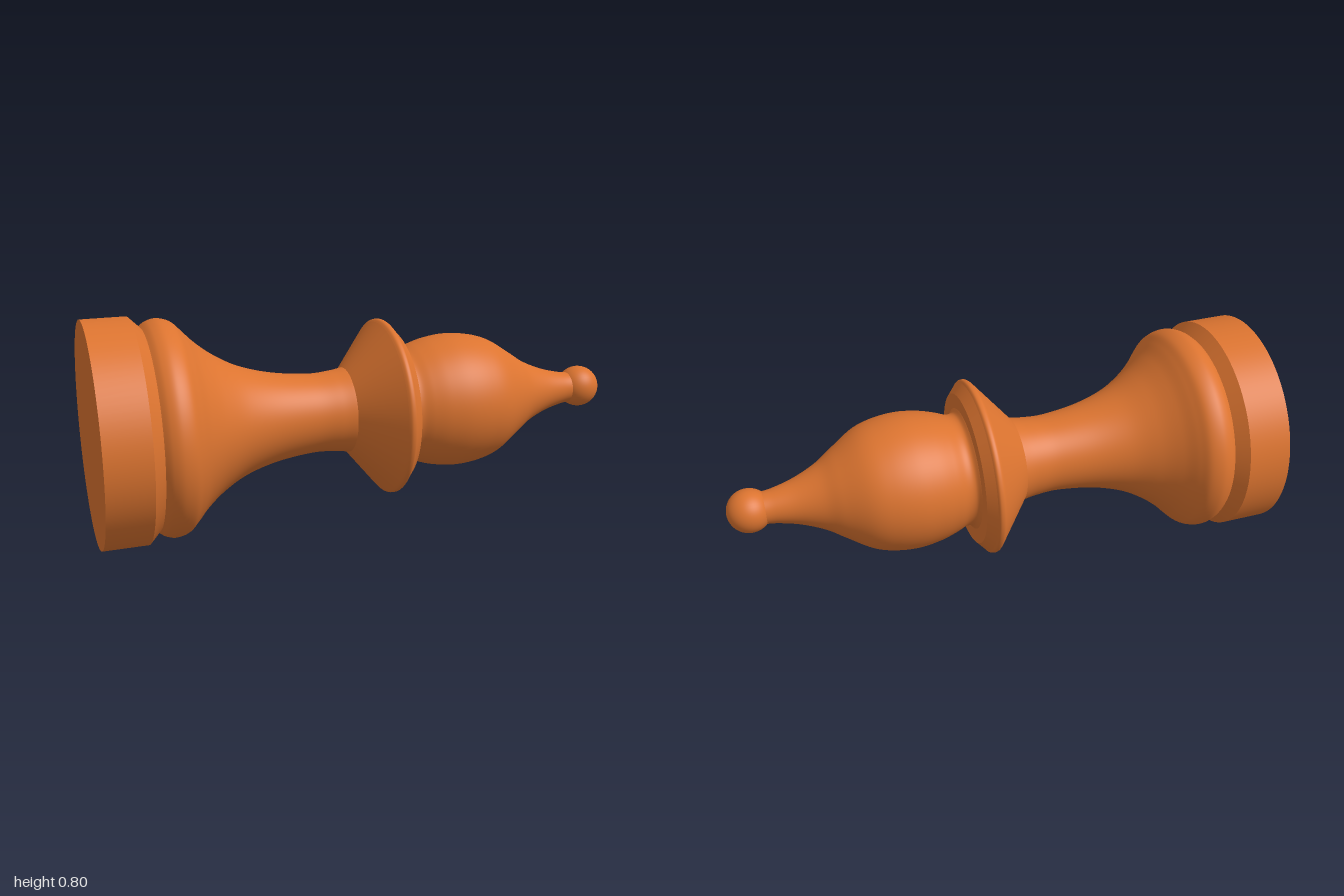
import * as THREE from 'three';

const SEGMENTS = 96;

export function createModel() {
  const model = new THREE.Group();
  model.name = 'chessBishop';
  const wood = new THREE.MeshStandardMaterial({ color: 0xdc7430 });
  wood.name = 'orange wood';

  // The piece is turned around its own upright axis, then laid along +x
  const piece = new THREE.Group();
  piece.name = 'turnedPiece';
  piece.rotation.z = -Math.PI / 2;
  piece.position.y = 0.4;
  model.add(piece);

  // Profile points are [radius, position along the axis]
  const turn = (name, profile, steps = 0, parent = piece) => {
    let points = profile.map(([r, h]) => new THREE.Vector2(r, h));
    if (steps) points = new THREE.SplineCurve(points).getPoints(steps);
    const mesh = new THREE.Mesh(new THREE.LatheGeometry(points, SEGMENTS), wood);
    mesh.name = name;
    parent.add(mesh);
  };

  // Separate faces keep the edges between them sharp
  const turnSharp = (name, profile) => {
    const group = new THREE.Group();
    group.name = name;
    piece.add(group);
    for (let i = 1; i < profile.length; i++) {
      turn(`${name}Face${i}`, [profile[i - 1], profile[i]], 0, group);
    }
  };

  // Foot disc with a bevelled shoulder
  turnSharp('base', [[0, -1], [0.4, -1], [0.4, -0.84], [0.36, -0.8]]);

  // Rounded ring sweeping into the concave stem
  turn('stem', [
    [0.36, -0.8], [0.378, -0.777], [0.387, -0.742], [0.376, -0.7], [0.347, -0.668],
    [0.302, -0.625], [0.25, -0.56], [0.2, -0.47], [0.164, -0.35],
    [0.146, -0.21], [0.15, -0.12], [0.158, -0.07],
  ], 80);

  // Flared collar with a softly rounded rim
  turn('collarFlare', [[0.158, -0.07], [0.318, 0.062]]);
  turn('collarRim', [[0.318, 0.062], [0.327, 0.072], [0.327, 0.086], [0.318, 0.094]], 12);
  turnSharp('collarTop', [[0.318, 0.094], [0.283, 0.125], [0.228, 0.125]]);

  // Bulbous head tapering into a slim neck
  turn('head', [
    [0.228, 0.125], [0.212, 0.14], [0.211, 0.165], [0.226, 0.205], [0.243, 0.265],
    [0.253, 0.345], [0.246, 0.43], [0.222, 0.51], [0.165, 0.6],
    [0.122, 0.665], [0.085, 0.75], [0.064, 0.83], [0.058, 0.88],
  ], 90);

  // Ball tip
  const ball = new THREE.Mesh(new THREE.SphereGeometry(0.08, 48, 32), wood);
  ball.name = 'finial';
  ball.position.y = 0.92;
  piece.add(ball);

  return model;
}
